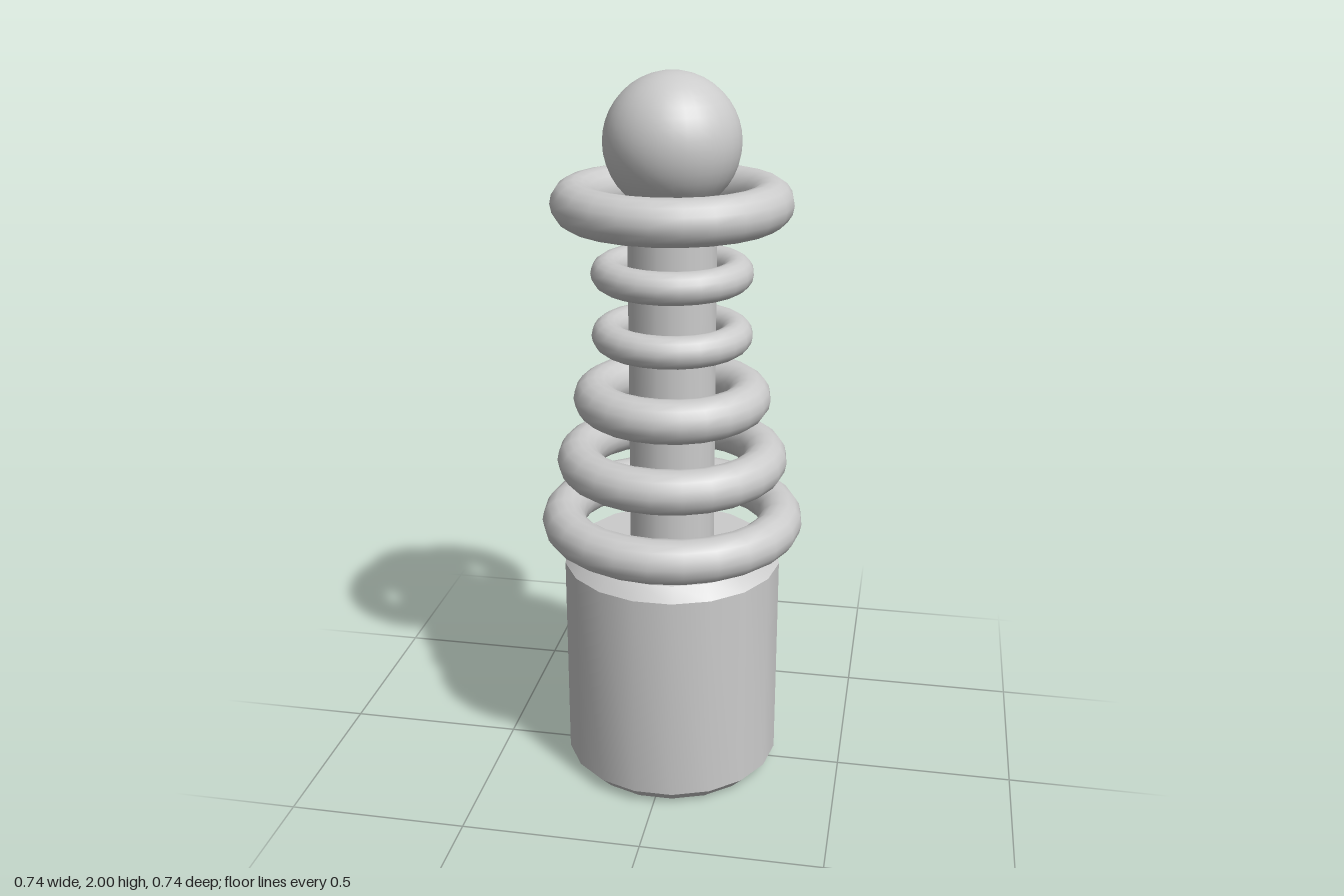
import * as THREE from 'three';
import { toCreasedNormals } from 'three/addons/utils/BufferGeometryUtils.js';

export function createModel() {
  const model = new THREE.Group();
  const material = new THREE.MeshStandardMaterial({ color: 0xcccccc });

  const add = (name, geometry, y = 0) => {
    const mesh = new THREE.Mesh(geometry, material);
    mesh.name = name;
    mesh.position.y = y;
    model.add(mesh);
    return mesh;
  };

  // Bevelled base, 18 sides with a corner on the x axis
  const profile = [[0, 0], [0.272, 0], [0.308, 0.037], [0.308, 0.64], [0.272, 0.676], [0, 0.676]]
    .map(([r, y]) => new THREE.Vector2(r, y));
  const base = new THREE.LatheGeometry(profile, 18).rotateY(Math.PI / 2);
  add('base', toCreasedNormals(base, Math.PI / 6));

  // Central pole, running from the base into the ball
  const pole = new THREE.CylinderGeometry(0.12, 0.12, 1.1, 18).rotateY(Math.PI / 2);
  add('pole', pole, 1.2);

  // Stacked rings: height, ring radius, tube radius
  const rings = [
    [0.765, 0.307, 0.061],
    [0.945, 0.26, 0.061],
    [1.125, 0.212, 0.06],
    [1.303, 0.175, 0.044],
    [1.474, 0.175, 0.044],
    [1.663, 0.26, 0.062],
  ];
  rings.forEach(([y, radius, tube], i) => {
    const ring = new THREE.TorusGeometry(radius, tube, 16, 24).rotateX(Math.PI / 2);
    add(`ring${i + 1}`, ring, y);
  });

  // Ball on top
  add('topBall', new THREE.SphereGeometry(0.182, 32, 20), 1.818);

  return model;
}
